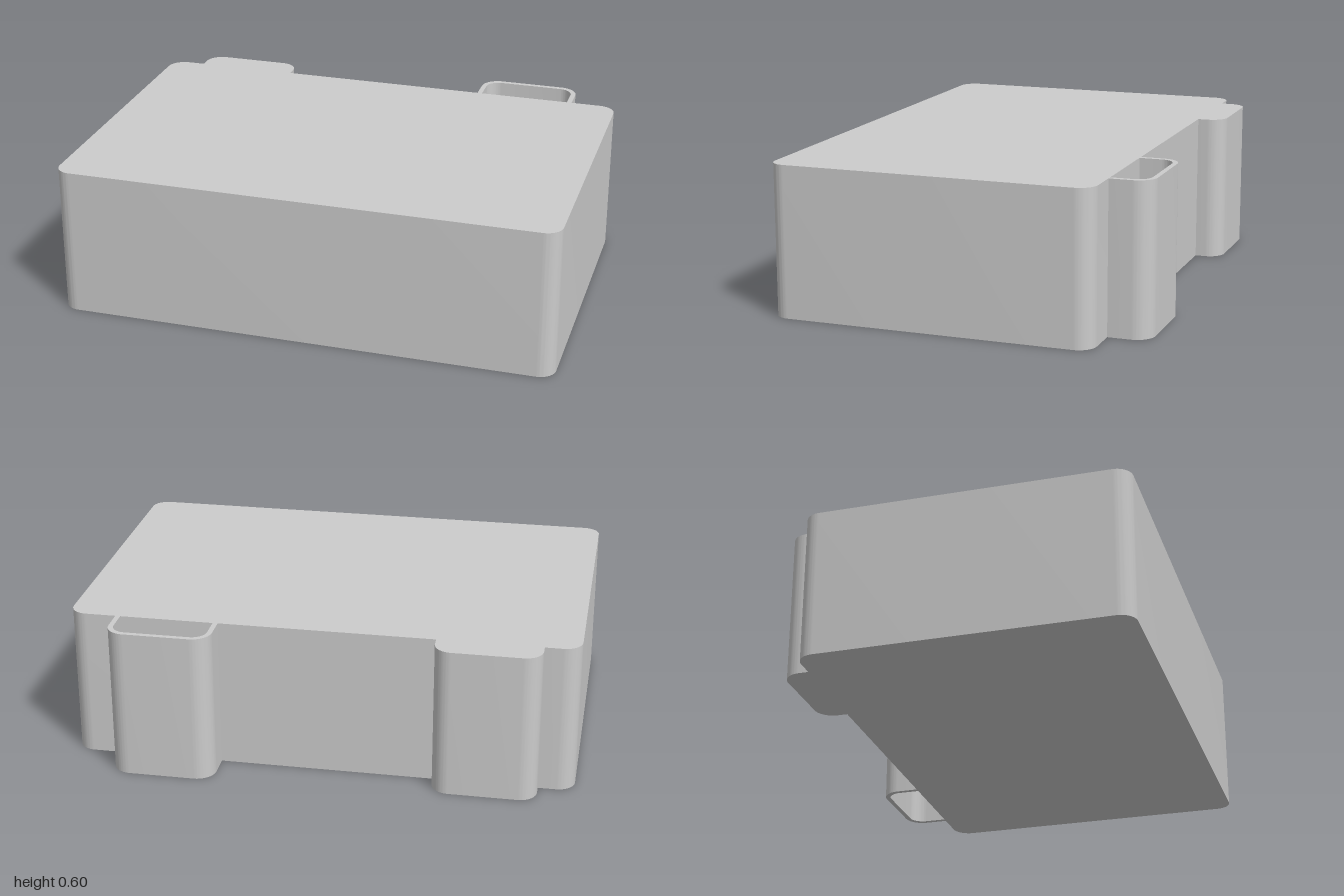
import * as THREE from 'three';
import { toCreasedNormals } from 'three/addons/utils/BufferGeometryUtils.js';

const HEIGHT = 0.6;
const BACK = 0.56;   // back wall of the case
const FRONT = -0.725; // plan y points to the back

// Plan outline from points [x, y, cornerRadius], drawn anticlockwise
function roundedOutline(points) {
  const shape = new THREE.Shape();
  const n = points.length;
  points.forEach(([x, y, r = 0], i) => {
    const corner = new THREE.Vector2(x, y);
    const toward = (p) => new THREE.Vector2(p[0], p[1]).sub(corner).setLength(r).add(corner);
    const a = toward(points[(i + n - 1) % n]);
    const b = toward(points[(i + 1) % n]);
    if (i === 0) shape.moveTo(a.x, a.y);
    else shape.lineTo(a.x, a.y);
    if (r > 0) {
      // Centre of the right-angled corner's arc
      const c = a.clone().add(b).sub(corner);
      const cross = (corner.x - a.x) * (b.y - corner.y) - (corner.y - a.y) * (b.x - corner.x);
      shape.absarc(c.x, c.y, r, Math.atan2(a.y - c.y, a.x - c.x),
        Math.atan2(b.y - c.y, b.x - c.x), cross < 0);
    }
  });
  shape.closePath();
  return shape;
}

// Raise a plan outline to the full height
function raise(name, points, material) {
  const geometry = new THREE.ExtrudeGeometry(roundedOutline(points), {
    depth: HEIGHT, bevelEnabled: false, curveSegments: 10,
  });
  geometry.rotateX(-Math.PI / 2);
  const mesh = new THREE.Mesh(toCreasedNormals(geometry, 0.6), material);
  mesh.name = name;
  return mesh;
}

export function createModel() {
  const group = new THREE.Group();
  group.name = 'case';
  const material = new THREE.MeshStandardMaterial({ color: 0xcccccc });

  // Solid case with a rounded block on the back
  group.add(raise('body', [
    [-1, FRONT, 0.065], [1, FRONT, 0.065], [1, BACK, 0.07],
    [-0.45, BACK], [-0.45, 0.67, 0.07], [-0.86, 0.67, 0.07],
    [-0.86, BACK], [-1, BACK, 0.07],
  ], material));

  // Thin open loop on the back
  group.add(raise('backLoop', [
    [0.79, BACK], [0.81, BACK], [0.81, 0.725, 0.075], [0.4, 0.725, 0.075],
    [0.4, BACK], [0.42, BACK], [0.42, 0.705, 0.057], [0.79, 0.705, 0.057],
  ], material));

  return group;
}
